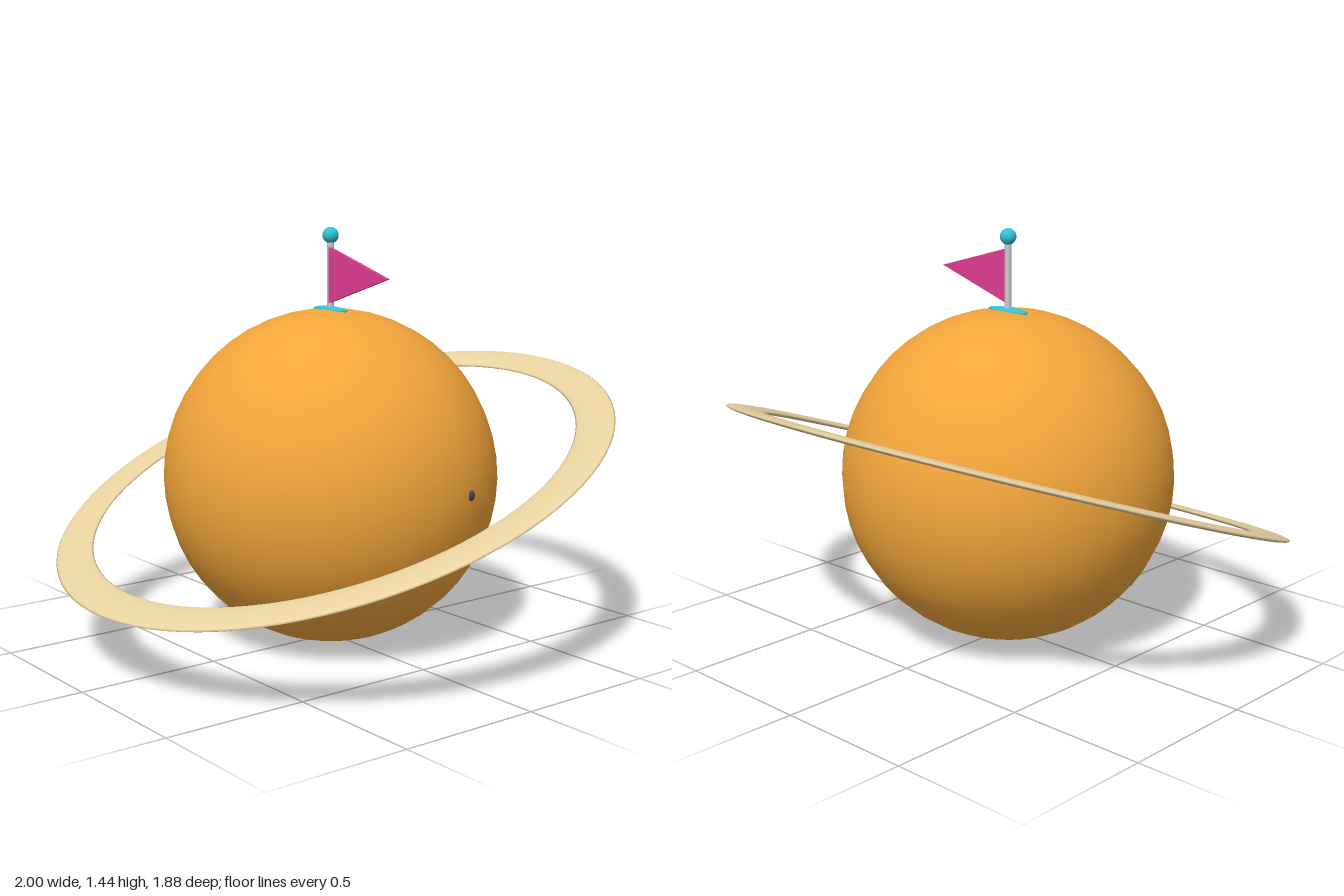
import * as THREE from 'three';

const RADIUS = 0.58; // planet radius, also its centre height

function part(parent, name, geometry, color, position = [0, 0, 0], scale = [1, 1, 1]) {
  const material = new THREE.MeshStandardMaterial({ color });
  const mesh = new THREE.Mesh(geometry, material);
  mesh.name = name;
  mesh.position.set(...position);
  mesh.scale.set(...scale);
  parent.add(mesh);
  return mesh;
}

export function createModel() {
  const model = new THREE.Group();
  model.name = 'ringedPlanet';

  // Planet body
  part(model, 'planet', new THREE.SphereGeometry(RADIUS, 32, 24), 0xf2a53a, [0, RADIUS, 0]);

  // Flattened ring, lower at the front and higher at the back
  const ring = part(model, 'ring', new THREE.TorusGeometry(0.933, 0.067, 16, 96), 0xe8d2a0,
    [0, 0.585, 0], [1, 1, 0.16]);
  ring.rotation.x = -Math.PI / 2 + THREE.MathUtils.degToRad(20);

  // Small dark spot just breaking the surface on the left side
  const spot = part(model, 'surfaceSpot', new THREE.SphereGeometry(0.018, 8, 6), 0x4a4658,
    [0.557, RADIUS, -0.152], [1, 1, 0.45]);
  spot.lookAt(1.114, RADIUS, -0.304);

  // Flag on top of the planet
  const flag = new THREE.Group();
  flag.name = 'flagAssembly';
  model.add(flag);
  part(flag, 'flagBase', new THREE.SphereGeometry(1, 16, 8), 0x2ec4d6,
    [0, 1.157, 0], [0.09, 0.011, 0.026]);
  part(flag, 'pole', new THREE.CylinderGeometry(0.012, 0.012, 0.27, 12), 0xcccccc, [0, 1.27, 0]);
  part(flag, 'finial', new THREE.SphereGeometry(0.028, 16, 12), 0x2ec4d6, [0, 1.41, 0]);

  // Triangular pennant
  const pennant = new THREE.Shape([
    new THREE.Vector2(0.005, 1.18),
    new THREE.Vector2(0.315, 1.28),
    new THREE.Vector2(0.005, 1.37),
  ]);
  part(flag, 'pennant', new THREE.ExtrudeGeometry(pennant, { depth: 0.012, bevelEnabled: false }),
    0xe23d92, [0, 0, 0]);

  return model;
}
